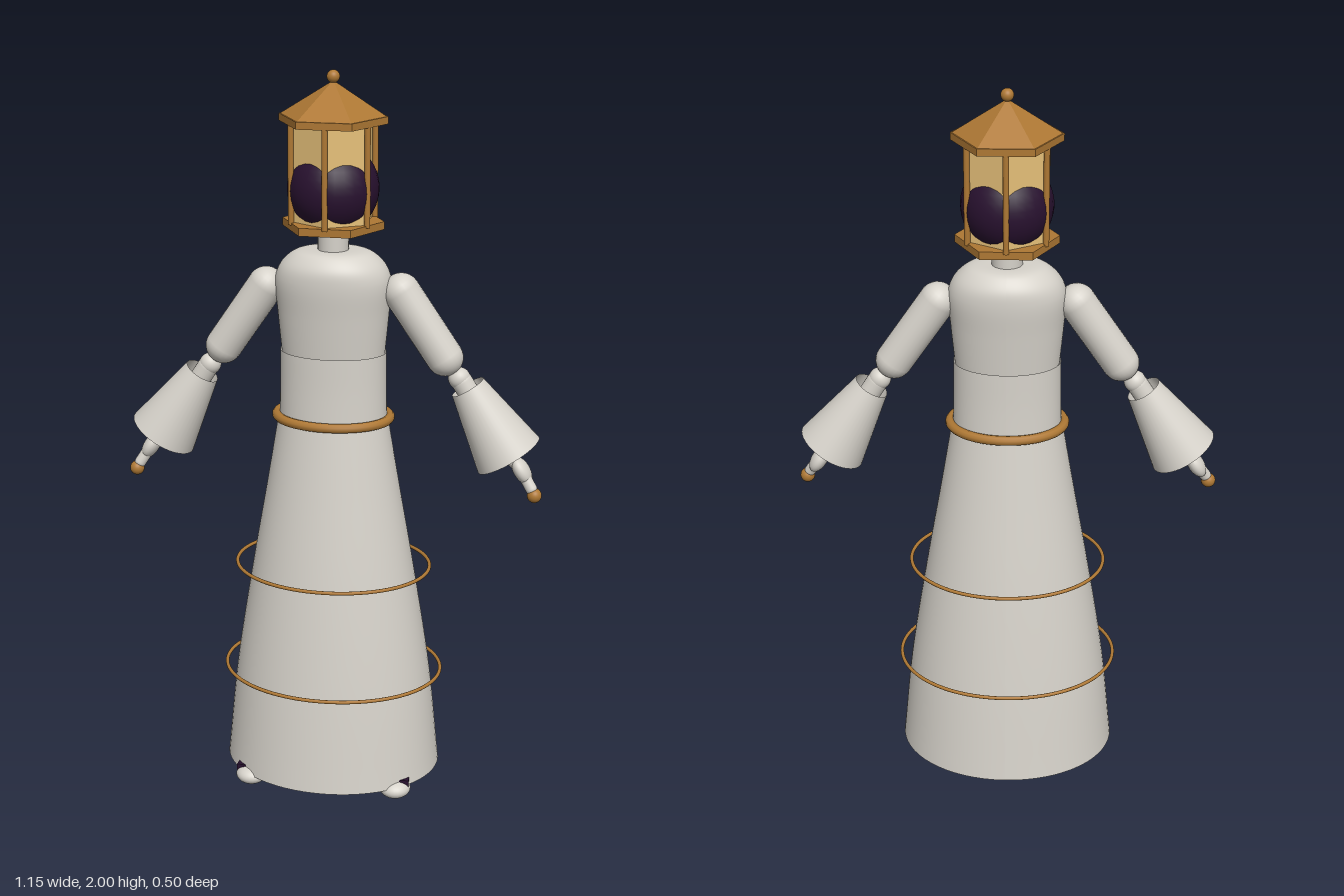
import * as THREE from 'three';

const V = (x, y, z = 0) => new THREE.Vector3(x, y, z);

export function createModel() {
  const model = new THREE.Group();
  model.name = 'lanternFigure';

  const mat = (name, color, double) => {
    const m = new THREE.MeshStandardMaterial({ color });
    m.name = name;
    if (double) m.side = THREE.DoubleSide;
    return m;
  };
  const cloth = mat('paleCloth', 0xd6d2ca, true);
  const brass = mat('brass', 0xae7834);
  const glass = mat('amberGlass', 0xe6c079);
  const dark = mat('darkPlum', 0x28112f);

  const add = (name, geo, material, parent = model) => {
    const m = new THREE.Mesh(geo, material);
    m.name = name;
    parent.add(m);
    return m;
  };
  const ball = (name, p, rx, ry, rz, material, parent) => {
    const m = add(name, new THREE.SphereGeometry(1, 28, 18), material, parent);
    m.position.copy(p);
    m.scale.set(rx, ry, rz);
    return m;
  };
  // Places a y-aligned geometry between two points
  const between = (mesh, a, b) => {
    mesh.position.copy(a).add(b).multiplyScalar(0.5);
    mesh.quaternion.setFromUnitVectors(V(0, 1), b.clone().sub(a).normalize());
    return mesh;
  };
  const limb = (name, a, b, r, parent) =>
    between(add(name, new THREE.CapsuleGeometry(r, a.distanceTo(b), 8, 24), cloth, parent), a, b);
  // Elliptical body section from rows of [y, half width, half depth]
  const ellipseLoft = (name, rows, steps) => {
    const curve = new THREE.CatmullRomCurve3(rows.map(([y, rx, rz]) => V(rx, y, rz)));
    const pts = curve.getPoints(steps);
    const geo = new THREE.LatheGeometry(pts.map((p) => new THREE.Vector2(p.x, p.y)), 64, Math.PI);
    const pos = geo.attributes.position;
    for (let i = 0; i < pos.count; i++) {
      const p = pts[i % pts.length];
      pos.setZ(i, pos.getZ(i) * p.z / p.x);
    }
    geo.computeVertexNormals();
    return add(name, geo, cloth);
  };
  const hoop = (name, y, rx, rz, tube) => {
    const pts = [];
    for (let i = 0; i < 48; i++) {
      const a = i / 48 * Math.PI * 2;
      pts.push(V(rx * Math.cos(a), y, rz * Math.sin(a)));
    }
    return add(name, new THREE.TubeGeometry(new THREE.CatmullRomCurve3(pts, true), 96, tube, 10, true), brass);
  };
  // Six-sided prism or cone with flat faces
  const hex = (name, y0, y1, rBottom, rTop, turn, material) => {
    const geo = new THREE.CylinderGeometry(rTop, rBottom, y1 - y0, 6).toNonIndexed();
    geo.computeVertexNormals();
    const m = add(name, geo, material);
    m.position.y = (y0 + y1) / 2;
    m.rotation.y = turn;
    return m;
  };

  // Gown
  ellipseLoft('skirt', [[0.035, 0.305, 0.245], [0.32, 0.275, 0.215], [0.63, 0.226, 0.175],
    [0.88, 0.182, 0.137], [1.07, 0.15, 0.108]], 28);
  ellipseLoft('waist', [[1.07, 0.147, 0.104], [1.16, 0.145, 0.101], [1.255, 0.144, 0.1]], 8);
  ellipseLoft('chest', [[1.25, 0.14, 0.094], [1.36, 0.15, 0.104], [1.45, 0.156, 0.112],
    [1.49, 0.142, 0.108], [1.52, 0.112, 0.088], [1.53, 0.085, 0.07], [1.531, 0.002, 0.002]], 36);
  hoop('belt', 1.07, 0.155, 0.115, 0.013);
  hoop('upperHoop', 0.635, 0.27, 0.215, 0.005);
  hoop('lowerHoop', 0.322, 0.305, 0.243, 0.005);

  // Neck and lantern head
  const neck = add('neck', new THREE.CylinderGeometry(0.041, 0.041, 0.08, 28), cloth);
  neck.position.y = 1.56;
  ball('headOrb', V(0, 1.695), 0.121, 0.121, 0.121, dark);
  hex('lanternGlass', 1.605, 1.87, 0.108, 0.108, 0, glass);
  hex('lanternBase', 1.59, 1.611, 0.136, 0.136, Math.PI / 6, brass);
  hex('lanternEave', 1.866, 1.885, 0.144, 0.144, Math.PI / 6, brass);
  hex('lanternRoof', 1.885, 1.968, 0.14, 0.008, Math.PI / 6, brass);
  ball('finial', V(0, 1.983), 0.017, 0.017, 0.017, brass);
  for (let i = 0; i < 6; i++) {
    const a = i * Math.PI / 3;
    const post = add('lanternPost', new THREE.CylinderGeometry(0.008, 0.008, 0.265, 12), brass);
    post.position.set(0.116 * Math.sin(a), 1.738, 0.116 * Math.cos(a));
  }

  for (const s of [1, -1]) {
    const side = s > 0 ? 'left' : 'right';

    // Arm with open bell sleeve
    const arm = new THREE.Group();
    arm.name = side + 'Arm';
    model.add(arm);
    limb('upperArm', V(s * 0.183, 1.425), V(s * 0.302, 1.25), 0.05, arm);
    ball('elbow', V(s * 0.342, 1.195), 0.03, 0.03, 0.03, cloth, arm);
    limb('forearm', V(s * 0.35, 1.185), V(s * 0.468, 1.0), 0.029, arm);
    const cuff = V(s * 0.365, 1.172), hem = V(s * 0.48, 0.987);
    between(add('sleeve', new THREE.CylinderGeometry(0.095, 0.048, cuff.distanceTo(hem), 40, 1, true),
      cloth, arm), cuff, hem);

    // Hand with brass fingertip
    limb('wrist', V(s * 0.475, 0.99), V(s * 0.505, 0.96), 0.018, arm);
    const palm = ball('palm', V(s * 0.517, 0.945), 0.022, 0.042, 0.033, cloth, arm);
    palm.rotation.z = s * 0.56;
    limb('finger', V(s * 0.53, 0.925, 0.01), V(s * 0.546, 0.9, 0.017), 0.016, arm);
    ball('fingertip', V(s * 0.555, 0.883, 0.02), 0.02, 0.02, 0.02, brass, arm);

    // Leg inside the skirt
    const leg = new THREE.Group();
    leg.name = side + 'Leg';
    model.add(leg);
    limb('shin', V(s * 0.18, 0.1, 0.0), V(s * 0.13, 0.54, 0), 0.04, leg);
    limb('thigh', V(s * 0.13, 0.54, 0), V(s * 0.07, 0.98, 0), 0.05, leg);

    // Shoe
    const foot = new THREE.Group();
    foot.name = side + 'Foot';
    foot.position.set(s * 0.185, 0, 0);
    foot.rotation.y = s * 0.14;
    model.add(foot);
    const sole = add('sole', new THREE.BoxGeometry(0.078, 0.032, 0.22), dark, foot);
    sole.position.set(0, 0.04, 0.06);
    ball('toe', V(0, 0.027, 0.155), 0.044, 0.027, 0.045, cloth, foot);
    ball('instep', V(0, 0.06, 0.04), 0.036, 0.04, 0.08, cloth, foot);
  }
  return model;
}
